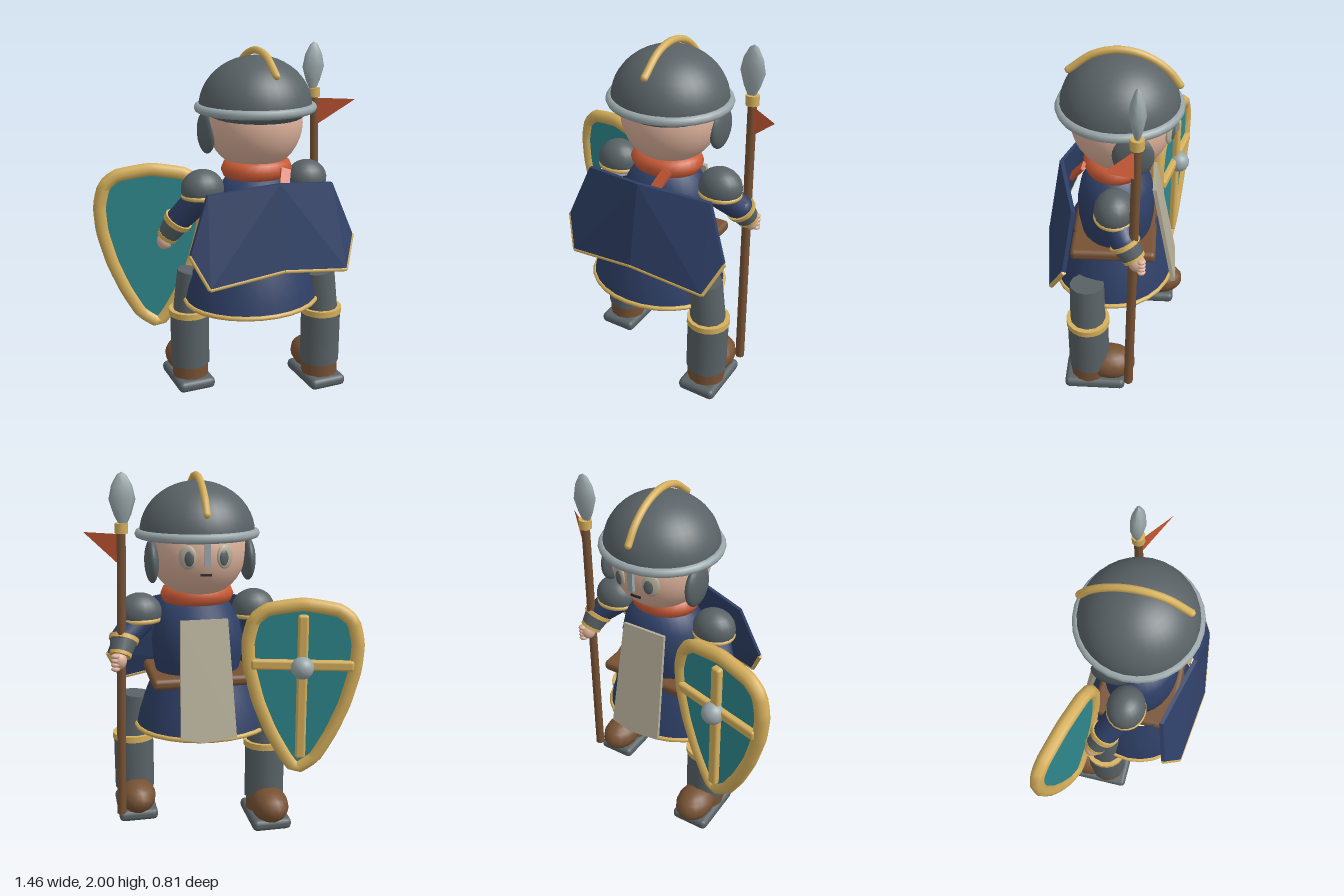
import * as THREE from 'three';
import { RoundedBoxGeometry } from 'three/addons/geometries/RoundedBoxGeometry.js';
import { ConvexGeometry } from 'three/addons/geometries/ConvexGeometry.js';

const V = (x, y, z) => new THREE.Vector3(x, y, z);
const CX = 0.117; // body centre line

export function createModel() {
  const model = new THREE.Group();
  model.name = 'guard';
  const mat = (name, color, opts = {}) => {
    const m = new THREE.MeshStandardMaterial({ color, ...opts });
    m.name = name;
    return m;
  };
  const navy = mat('navy cloth', 0x2e3f66, { side: THREE.DoubleSide });
  const iron = mat('dark iron', 0x596266);
  const steel = mat('light steel', 0x9aa7aa);
  const gold = mat('gold trim', 0xd6b05c);
  const leather = mat('brown leather', 0x775234);
  const teal = mat('teal shield', 0x2e878c);
  const orange = mat('orange cloth', 0xcb5b36, { side: THREE.DoubleSide });
  const skin = mat('skin', 0xdbb09a);
  const linen = mat('linen', 0xb5ad98);
  const dark = mat('dark line', 0x2b2b2e);

  const add = (name, geo, material, pos = [0, 0, 0], scale = [1, 1, 1], rot = [0, 0, 0], parent = model) => {
    const m = new THREE.Mesh(geo, material);
    m.name = name;
    m.position.set(...pos);
    m.scale.set(...scale);
    m.rotation.set(...rot);
    parent.add(m);
    return m;
  };
  const ball = (name, material, pos, radii, rot, parent, seg = 20) =>
    add(name, new THREE.SphereGeometry(1, seg, Math.round(seg * 0.7)), material, pos, radii, rot, parent);
  const limb = (name, material, a, b, ra, rb = ra, seg = 12) => {
    const m = add(name, new THREE.CylinderGeometry(rb, ra, a.distanceTo(b), seg), material);
    m.position.copy(a).lerp(b, 0.5);
    m.quaternion.setFromUnitVectors(V(0, 1, 0), b.clone().sub(a).normalize());
    return m;
  };
  const ring = (name, material, pos, r, t, stretchZ = 1) =>
    add(name, new THREE.TorusGeometry(r, t, 8, 28).rotateX(Math.PI / 2), material, pos, [1, 1, stretchZ]);
  const lathe = (pts, seg = 28) => new THREE.LatheGeometry(pts.map(p => new THREE.Vector2(...p)), seg);

  // Head and face (the face looks toward -z)
  ball('head', skin, [CX, 1.58, -0.01], [0.268, 0.265, 0.268], undefined, undefined, 28);
  for (const s of [-1, 1]) {
    ball('eye', linen, [CX + s * 0.098, 1.57, -0.258], [0.048, 0.064, 0.016], [0, s * -0.38, 0]);
    ball('pupil', iron, [CX + s * 0.092, 1.565, -0.273], [0.026, 0.04, 0.01], [0, s * -0.38, 0]);
    ball('earFlap', iron, [CX + s * 0.263, 1.53, -0.08], [0.038, 0.118, 0.106]);
  }
  add('mouth', new THREE.BoxGeometry(0.06, 0.012, 0.012), dark, [CX, 1.475, -0.258]);
  add('noseGuard', new THREE.BoxGeometry(0.03, 0.14, 0.022), steel, [CX, 1.595, -0.295]);

  // Helmet
  add('helmetDome', new THREE.SphereGeometry(1, 32, 12, 0, Math.PI * 2, 0, Math.PI / 2), iron,
    [CX, 1.665, 0], [0.316, 0.283, 0.31]);
  ball('helmetNape', iron, [CX, 1.662, 0.02], [0.282, 0.1, 0.275], undefined, undefined, 28);
  ring('helmetBrim', steel, [CX, 1.668, 0], 0.317, 0.025, 0.975);
  const crest = new THREE.CatmullRomCurve3([[1.86, 0.255], [1.95, 0.13], [1.975, 0], [1.945, -0.13],
    [1.87, -0.24], [1.79, -0.3]].map(([y, z]) => V(CX + 0.003, y, z)));
  add('helmetCrest', new THREE.TubeGeometry(crest, 18, 0.02, 8), gold);
  for (const t of [0, 1]) ball('crestEnd', gold, crest.getPoint(t).toArray(), [0.02, 0.02, 0.02], undefined, undefined, 8);

  // Scarf with its tail
  ring('scarf', orange, [CX, 1.33, 0.022], 0.15, 0.056, 0.85);
  add('scarfTail', new THREE.BoxGeometry(0.055, 0.13, 0.02), orange, [0.195, 1.295, 0.22], undefined, [-0.6, 0, -0.35]);

  // Torso, belt and skirt
  add('torso', lathe([[0.23, 0.86], [0.255, 0.98], [0.26, 1.08], [0.235, 1.19], [0.18, 1.28], [0, 1.34]]), navy,
    [CX, 0, 0.02], [1, 1, 0.82]);
  add('belt', new RoundedBoxGeometry(0.57, 0.062, 0.465, 2, 0.025), leather, [CX, 0.87, 0.025]);
  add('skirt', lathe([[0.39, 0.57], [0.37, 0.66], [0.33, 0.77], [0.275, 0.9]]), navy, [0.08, 0, 0.04], [1, 1, 0.88]);
  ring('skirtHem', gold, [0.08, 0.57, 0.04], 0.389, 0.014, 0.88);

  // Linen panel hanging at the chest
  const panel = new THREE.Shape([[-0.13, 0.33], [0.13, 0.33], [0.155, -0.31], [0.03, -0.34], [-0.155, -0.32]]
    .map(p => new THREE.Vector2(...p)));
  add('tabardPanel', new THREE.ExtrudeGeometry(panel, { depth: 0.02, bevelEnabled: false }), linen,
    [CX, 0.9, -0.262], undefined, [0.19, 0, 0]);

  // Folded cape with a gold lower edge
  const cape = s => [V(0, 1.303, 0.325), V(s * 0.375, 1.252, 0.225), V(s * 0.492, 0.95, 0.272),
    V(s * 0.412, 0.775, 0.355), V(0, 0.84, 0.405)].map(p => p.add(V(CX, 0, 0)));
  for (const s of [-1, 1]) {
    const pts = cape(s);
    add('cape', new ConvexGeometry([...pts, ...pts.map(p => p.clone().add(V(0, 0, -0.022)))]), navy);
    const low = V(0, -0.005, -0.01);
    for (const [i, j] of [[2, 3], [3, 4]])
      limb('capeTrim', gold, pts[i].clone().add(low), pts[j].clone().add(low), 0.013, 0.013, 8);
  }

  // Legs and boots, one a step ahead of the other
  for (const [x, z, side] of [[0.48, 0.16, 1], [-0.25, -0.115, -1]]) {
    limb('thigh', iron, V(x, 0.45, z), V(x - side * 0.028, 0.72, z + 0.003), 0.1, 0.095);
    limb('greave', iron, V(x, 0.14, z), V(x, 0.46, z), 0.116);
    limb('greaveBand', gold, V(x, 0.453, z), V(x, 0.488, z), 0.122, 0.122, 20);
    limb('bootHeel', leather, V(x, 0.06, z), V(x, 0.16, z), 0.108);
    ball('bootToe', leather, [x, 0.13, z - 0.125], [0.108, 0.096, 0.145], undefined, undefined, 14);
    add('sole', new RoundedBoxGeometry(0.226, 0.066, 0.35, 2, 0.028), iron, [x, 0.033, z - 0.038]);
  }

  // Shoulders, arms and hands
  const arms = [
    [V(0.44, 1.2, 0.01), V(0.535, 1.11, -0.045), V(0.572, 1.0, -0.112)],
    [V(-0.205, 1.2, 0.01), V(-0.315, 1.05, -0.08), V(-0.385, 0.91, -0.145)],
  ];
  for (const [a, b, c] of arms) {
    add('pauldron', new THREE.SphereGeometry(1, 18, 8, 0, Math.PI * 2, 0, Math.PI * 0.62), iron,
      [a.x, 1.235, a.z], [0.122, 0.11, 0.106]);
    ring('pauldronTrim', gold, [a.x, 1.197, a.z], 0.108, 0.014, 0.9);
    limb('upperArm', navy, a, b, 0.085, 0.072);
    ball('elbow', navy, b.toArray(), [0.072, 0.072, 0.072]);
    const at = t => b.clone().lerp(c, t);
    limb('bracer', iron, at(0.05), at(0.75), 0.078, 0.06);
    limb('bracerBand', gold, at(0), at(0.18), 0.084, 0.082, 16);
    limb('bracerCuff', gold, at(0.68), at(0.82), 0.063, 0.061, 16);
    ball('hand', skin, c.toArray(), [0.042, 0.05, 0.045]);
    for (let i = 0; i < 4; i++)
      ball('finger', skin, [c.x + 0.022, c.y + 0.03 - i * 0.024, c.z - 0.025], [0.026, 0.014, 0.024], undefined, undefined, 8);
  }

  // Spear with pennant
  const foot = V(0.583, 0.08, -0.075), tip = V(0.539, 1.7, -0.105);
  limb('spearShaft', leather, foot, tip, 0.026, 0.024, 10);
  limb('spearFerrule', gold, V(0.539, 1.685, -0.104), V(0.538, 1.738, -0.105), 0.036, 0.036, 10);
  add('spearBlade', lathe([[0.02, 0], [0.045, 0.05], [0.07, 0.13], [0.055, 0.2], [0.025, 0.255], [0, 0.27]], 8), steel,
    [0.53, 1.73, -0.105], [1, 1, 0.6]);
  const pennant = new THREE.BufferGeometry().setFromPoints(
    [V(0.543, 1.68, -0.1), V(0.556, 1.52, -0.1), V(0.73, 1.68, 0.04)]);
  pennant.computeVertexNormals();
  add('pennant', pennant, orange);

  // Shield; its outer face is the local -z side
  const shield = new THREE.Group();
  shield.name = 'shield';
  shield.position.set(-0.412, 0.96, -0.28);
  shield.rotation.y = -0.273;
  model.add(shield);
  const half = [[0.19, 0.31], [0.265, 0.25], [0.295, 0.13], [0.285, -0.02], [0.235, -0.21], [0.165, -0.38], [0.08, -0.53]];
  const rim = [[0, 0.34], ...half, [0.02, -0.6], ...half.map(([x, y]) => [-x, y]).reverse()];
  const face = new THREE.Shape(rim.map(p => new THREE.Vector2(...p)));
  add('shieldFace', new THREE.ExtrudeGeometry(face, { depth: 0.03, bevelEnabled: false }), teal,
    [0, 0, -0.015], undefined, undefined, shield);
  const rimCurve = new THREE.CatmullRomCurve3(rim.map(([x, y]) => V(x, y, 0)), true, 'catmullrom', 0.2);
  add('shieldRim', new THREE.TubeGeometry(rimCurve, 64, 0.04, 8, true), gold, undefined, undefined, undefined, shield);
  add('shieldBarUpright', new RoundedBoxGeometry(0.058, 0.82, 0.045, 2, 0.015), gold, [0, -0.12, -0.028], undefined, undefined, shield);
  add('shieldBarAcross', new RoundedBoxGeometry(0.56, 0.058, 0.045, 2, 0.015), gold, [0, 0.01, -0.026], undefined, undefined, shield);
  ball('shieldBoss', steel, [0, 0, -0.05], [0.063, 0.063, 0.063], undefined, shield);

  return model;
}
